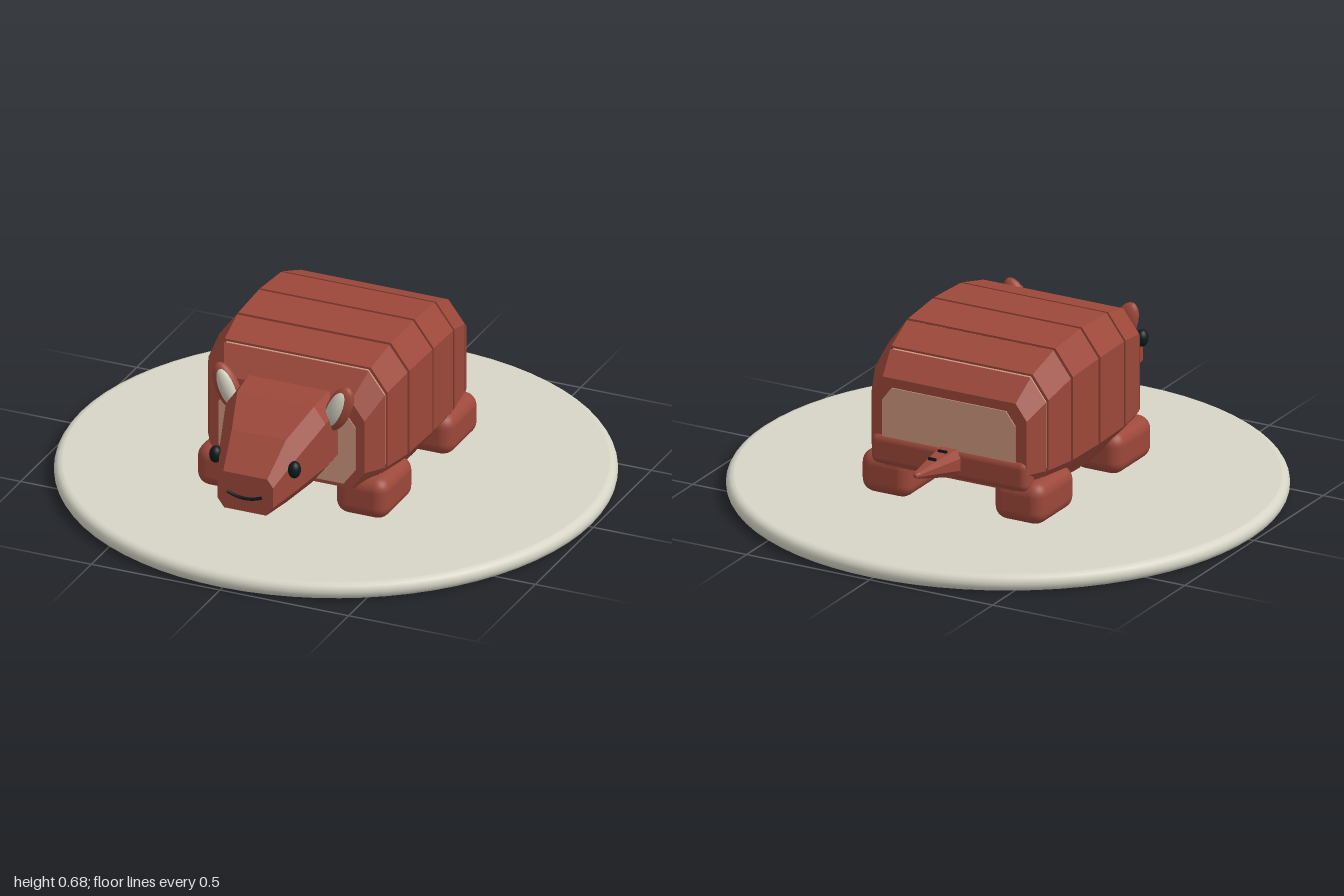
import * as THREE from 'three';
import { RoundedBoxGeometry } from 'three/addons/geometries/RoundedBoxGeometry.js';

const mat = (name, color) => {
  const m = new THREE.MeshStandardMaterial({ color });
  m.name = name;
  return m;
};

// Octagonal cross-section from [z, halfWidth, bottom, top, bottomChamfer, topChamfer]
function ring([z, w, y0, y1, cb, ct]) {
  return [
    [w, y0 + cb], [w, y1 - ct], [w - ct * 0.75, y1], [-w + ct * 0.75, y1],
    [-w, y1 - ct], [-w, y0 + cb], [-w + cb * 0.75, y0], [w - cb * 0.75, y0],
  ].map(([x, y]) => [x, y, z]);
}

// Flat-shaded, capped loft through stations listed front to back
function loft(stations) {
  const rings = stations.map(ring), pos = [];
  const tri = (...pts) => pts.forEach((p) => pos.push(...p));
  for (let i = 0; i < rings.length - 1; i++) {
    const a = rings[i], b = rings[i + 1];
    for (let j = 0; j < 8; j++) {
      const k = (j + 1) % 8;
      tri(b[j], b[k], a[j]);
      tri(b[k], a[k], a[j]);
    }
  }
  const f = rings[0], e = rings[rings.length - 1];
  for (let j = 1; j < 7; j++) {
    tri(f[0], f[j], f[j + 1]);
    tri(e[0], e[j + 1], e[j]);
  }
  const g = new THREE.BufferGeometry();
  g.setAttribute('position', new THREE.Float32BufferAttribute(pos, 3));
  g.computeVertexNormals();
  return g;
}

const mix = (a, b, t) => a.map((v, i) => v + (b[i] - v) * t);

export function createModel() {
  const rust = mat('rust', 0x9c483a);
  const tan = mat('tan', 0xcf977f);
  const stone = mat('stone', 0xd6d5c6);
  const cream = mat('cream', 0xcfcaba);
  const black = mat('black', 0x0e1a1a);

  const model = new THREE.Group();
  const add = (name, geometry, material, x = 0, y = 0, z = 0, parent = model) => {
    const m = new THREE.Mesh(geometry, material);
    m.name = name;
    m.position.set(x, y, z);
    parent.add(m);
    return m;
  };

  // Round base with softened rim
  const profile = [new THREE.Vector2(0, 0), new THREE.Vector2(0.97, 0)];
  for (let i = 0; i <= 8; i++) {
    const a = -Math.PI / 2 + (i / 8) * Math.PI;
    profile.push(new THREE.Vector2(0.972 + 0.028 * Math.cos(a), 0.031 + 0.031 * Math.sin(a)));
  }
  profile.push(new THREE.Vector2(0.97, 0.062), new THREE.Vector2(0, 0.062));
  add('base', new THREE.LatheGeometry(profile, 72), stone);

  // Armour bands separated by narrow grooves over a tan core
  const body = [
    [0.42, 0.3, 0.19, 0.535, 0.07, 0.07],
    [0.335, 0.347, 0.165, 0.632, 0.09, 0.085],
    [0.19, 0.368, 0.15, 0.668, 0.1, 0.095],
    [-0.005, 0.375, 0.145, 0.676, 0.105, 0.1],
    [-0.195, 0.37, 0.15, 0.66, 0.1, 0.095],
    [-0.337, 0.35, 0.165, 0.605, 0.09, 0.085],
    [-0.425, 0.315, 0.19, 0.525, 0.07, 0.06],
  ];
  for (let i = 0; i < body.length - 1; i++) {
    const a = body[i], b = body[i + 1], t = 0.006 / (a[0] - b[0]);
    const band = [mix(a, b, i ? t : 0), mix(a, b, i < 5 ? 1 - t : 1)];
    add('armourBand' + (i + 1), loft(band), rust);
  }
  const core = body.slice(1, -1).map(([z, w, y0, y1, cb, ct]) => [z, w - 0.008, y0 + 0.008, y1 - 0.008, cb, ct]);
  add('core', loft(core), tan);

  // Tan end panels
  add('frontPanel', loft([[0.424, 0.265, 0.205, 0.495, 0.06, 0.06], [0.418, 0.265, 0.205, 0.495, 0.06, 0.06]]), tan);
  add('backPanel', loft([[-0.423, 0.27, 0.21, 0.49, 0.05, 0.05], [-0.429, 0.27, 0.21, 0.49, 0.05, 0.05]]), tan);
  add('rump', new RoundedBoxGeometry(0.64, 0.12, 0.08, 3, 0.03), rust, 0, 0.25, -0.397);

  // Feet and ears, eyes mirrored left and right
  for (const s of [1, -1]) {
    const side = s > 0 ? 'left' : 'right';
    add(side + 'FrontLeg', new RoundedBoxGeometry(0.205, 0.16, 0.265, 4, 0.05), rust, s * 0.27, 0.145, 0.27);
    add(side + 'BackLeg', new RoundedBoxGeometry(0.205, 0.16, 0.265, 4, 0.05), rust, s * 0.27, 0.145, -0.292);

    const ear = new THREE.Group();
    ear.name = side + 'Ear';
    ear.position.set(s * 0.217, 0.515, 0.455);
    ear.rotation.z = -s * 0.4;
    add('earShell', new THREE.SphereGeometry(1, 24, 16), rust, 0, 0, 0, ear).scale.set(0.046, 0.096, 0.032);
    add('innerEar', new THREE.SphereGeometry(1, 24, 16), cream, -s * 0.006, 0, 0.012, ear).scale.set(0.033, 0.078, 0.027);
    model.add(ear);

    add(side + 'Eye', new THREE.SphereGeometry(1, 20, 14), black, s * 0.153, 0.37, 0.697).scale.set(0.023, 0.032, 0.025);
  }

  // Tapered head
  add('head', loft([
    [0.782, 0.108, 0.212, 0.355, 0.035, 0.03],
    [0.665, 0.15, 0.22, 0.462, 0.055, 0.06],
    [0.52, 0.194, 0.238, 0.538, 0.07, 0.06],
    [0.41, 0.2, 0.25, 0.552, 0.07, 0.06],
  ]), rust);

  // Smile
  const smile = new THREE.QuadraticBezierCurve3(
    new THREE.Vector3(-0.068, 0.281, 0.784), new THREE.Vector3(0, 0.25, 0.788), new THREE.Vector3(0.068, 0.281, 0.784));
  add('mouth', new THREE.TubeGeometry(smile, 16, 0.006, 6), black);

  // Tail with two small ridges
  add('tail', loft([
    [-0.4, 0.06, 0.195, 0.308, 0.03, 0.03],
    [-0.55, 0.033, 0.238, 0.3, 0.018, 0.018],
    [-0.655, 0.014, 0.268, 0.293, 0.008, 0.008],
    [-0.672, 0.006, 0.275, 0.288, 0.003, 0.003],
  ]), rust);
  add('tailRidge1', new THREE.BoxGeometry(0.036, 0.012, 0.008), black, 0, 0.306, -0.472);
  add('tailRidge2', new THREE.BoxGeometry(0.03, 0.012, 0.008), black, 0, 0.303, -0.548);

  return model;
}
